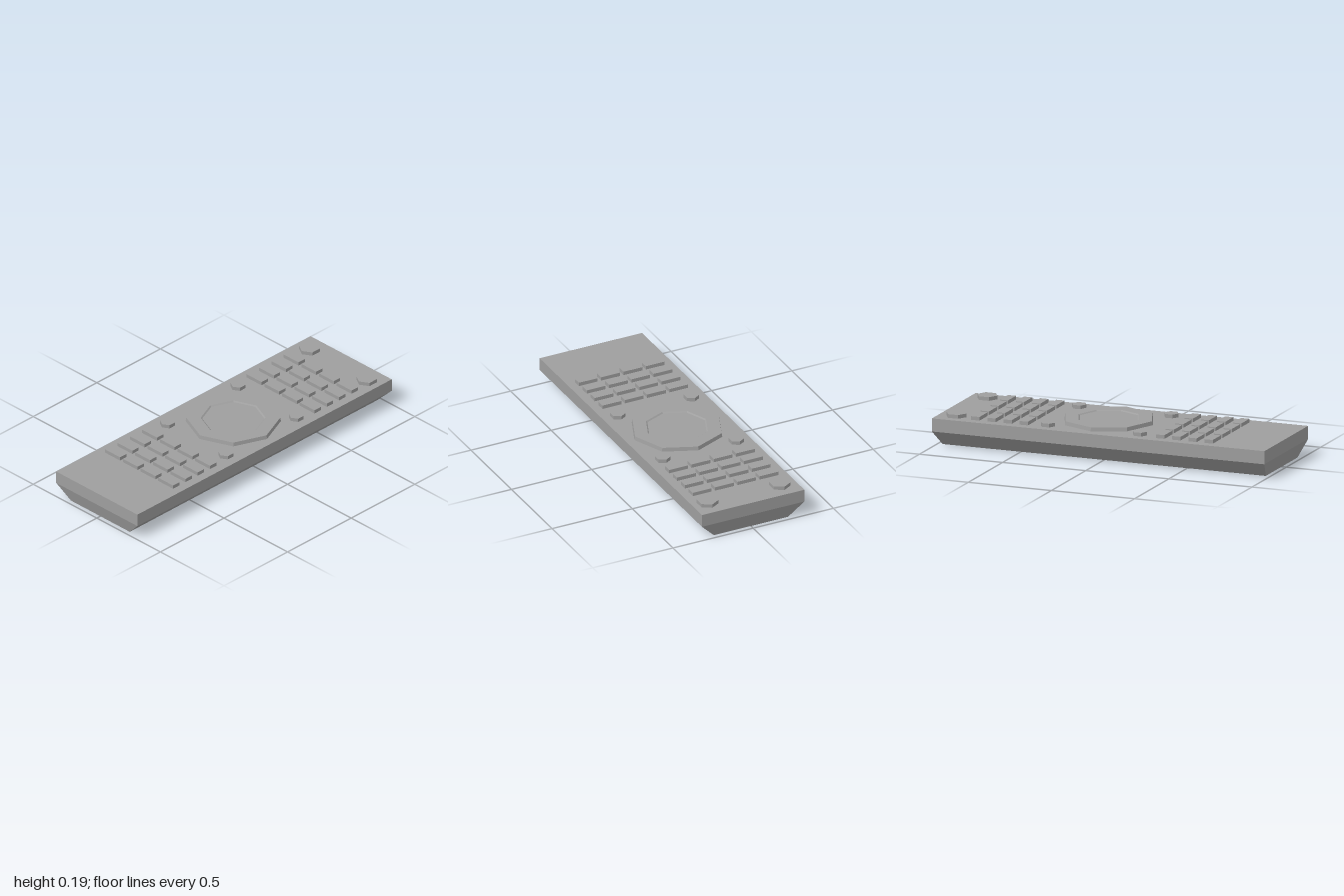
import * as THREE from 'three';

const material = new THREE.MeshStandardMaterial({ color: 0x9e9e9e, flatShading: true });
const DECK = 0.164; // height of the body's top face
const TOP = 0.185;  // height of the button tops

function add(parent, name, geometry, x = 0, y = 0, z = 0) {
  const mesh = new THREE.Mesh(geometry, material);
  mesh.name = name;
  mesh.position.set(x, y, z);
  parent.add(mesh);
  return mesh;
}

// Slab with straight upper sides and a chamfered underside
function bodyGeometry() {
  const geometry = new THREE.BoxGeometry(2, 2, 0.638, 1, 2, 1);
  const p = geometry.attributes.position;
  const heights = [0, 0.089, DECK];
  for (let i = 0; i < p.count; i++) {
    const level = Math.round(p.getY(i)) + 1;
    p.setY(i, heights[level]);
    if (level === 0) {
      p.setX(i, Math.sign(p.getX(i)) * 0.972);
      p.setZ(i, Math.sign(p.getZ(i)) * 0.231);
    }
  }
  geometry.computeVertexNormals();
  return geometry;
}

export function createModel() {
  const model = new THREE.Group();
  model.name = 'remoteControl';
  add(model, 'body', bodyGeometry());

  const baseY = DECK - 0.005;
  const height = TOP - baseY;
  const midY = (TOP + baseY) / 2;

  // Two keypads of four by four rectangular keys
  const key = new THREE.BoxGeometry(0.05, height, 0.117);
  for (const [name, startX] of [['rightKeypad', -0.643], ['leftKeypad', 0.469]]) {
    const pad = new THREE.Group();
    pad.name = name;
    for (let column = 0; column < 4; column++) {
      for (let row = 0; row < 4; row++) {
        add(pad, 'key', key, startX + column * 0.097, midY, -0.208 + row * 0.139);
      }
    }
    model.add(pad);
  }

  // Hexagonal buttons: four around the dial, two larger ones at the end
  const hexButton = (name, radius, x, z) => {
    const mesh = add(model, name, new THREE.CylinderGeometry(radius, radius, height, 6), x, midY, z);
    mesh.rotation.y = Math.PI / 6;
  };
  for (const x of [-0.215, 0.339]) {
    for (const z of [-0.229, 0.229]) hexButton('smallHexButton', 0.043, x, z);
  }
  for (const z of [-0.22, 0.23]) hexButton('largeHexButton', 0.06, 0.892, z);

  // Octagonal dial with a very shallow recessed centre
  const profile = [[0.266, baseY], [0.261, 0.186], [0.181, 0.186], [0.173, 0.18], [0, 0.18]];
  const dial = new THREE.LatheGeometry(profile.map(([r, y]) => new THREE.Vector2(r, y)), 8);
  add(model, 'dial', dial, 0.069, 0, 0.004);

  return model;
}
